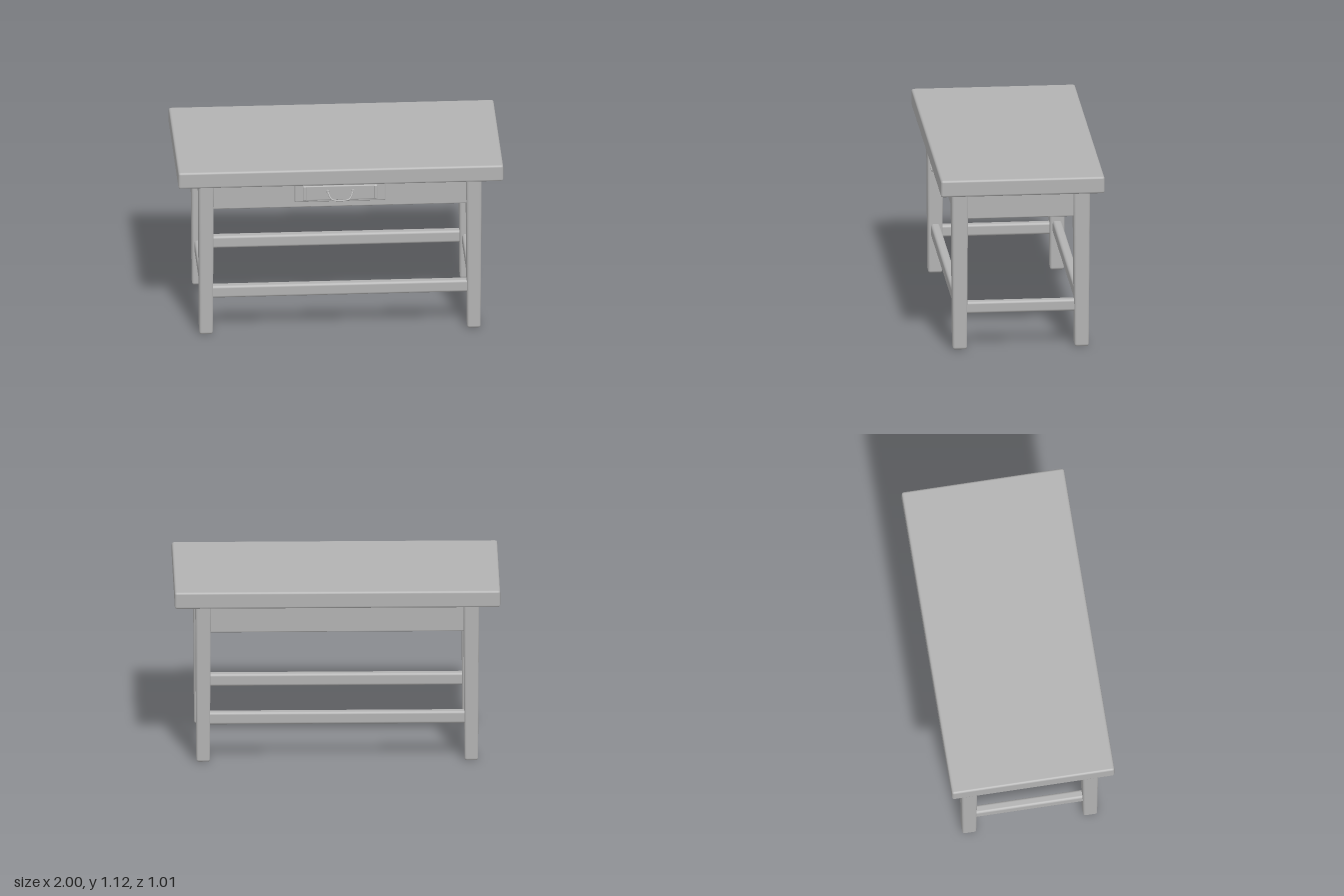
import * as THREE from 'three';
import { RoundedBoxGeometry } from 'three/addons/geometries/RoundedBoxGeometry.js';

export function createModel() {
  const table = new THREE.Group();
  table.name = 'table';
  const grey = new THREE.MeshStandardMaterial({ color: 0xb2b2b2 });
  grey.name = 'plain grey';

  const add = (name, geometry, x = 0, y = 0, z = 0, parent = table) => {
    const mesh = new THREE.Mesh(geometry, grey);
    mesh.name = name;
    mesh.position.set(x, y, z);
    parent.add(mesh);
    return mesh;
  };
  // Box with softened edges
  const soft = (w, h, d, r) => new RoundedBoxGeometry(w, h, d, 2, r);

  // Thick table top
  add('tableTop', soft(2, 0.107, 1.01, 0.014), 0, 1.0715, 0);

  // Legs: soft-edged posts, narrowing towards the foot
  const legHeight = 1.03;
  const legGeometry = soft(0.096, legHeight, 0.104, 0.016);
  const p = legGeometry.attributes.position;
  for (let i = 0; i < p.count; i++) {
    const t = 0.5 - p.getY(i) / legHeight;
    p.setX(i, p.getX(i) * (1 - 0.14 * t));
    p.setZ(i, p.getZ(i) * (1 - 0.16 * t));
  }
  legGeometry.computeBoundingSphere();
  for (const x of [-1, 1]) {
    for (const z of [-1, 1]) {
      add(`${z > 0 ? 'front' : 'back'}${x > 0 ? 'Left' : 'Right'}Leg`,
        legGeometry, x * 0.824, legHeight / 2, z * 0.376);
    }
  }

  // Aprons under the top and stretchers between the legs
  for (const s of [-1, 1]) {
    const end = s > 0 ? 'front' : 'back';
    const side = s > 0 ? 'left' : 'right';
    add(`${end}Apron`, soft(1.6, 0.195, 0.045, 0.008), 0, 0.9305, s * 0.382);
    add(`${side}Apron`, soft(0.045, 0.195, 0.7, 0.008), s * 0.83, 0.9305, 0);
    add(`${end}Stretcher`, soft(1.6, 0.08, 0.056, 0.016), 0, 0.276, s * 0.376);
    add(`${side}Stretcher`, soft(0.056, 0.076, 0.7, 0.016), s * 0.824, 0.263, 0);
  }

  // Drawer with a raised panel
  const drawer = new THREE.Group();
  drawer.name = 'drawer';
  table.add(drawer);
  add('drawerFront', soft(0.56, 0.128, 0.04, 0.008), 0, 0.941, 0.407, drawer);
  add('drawerPanel', soft(0.46, 0.097, 0.02, 0.007), 0, 0.938, 0.425, drawer);
  for (const s of [-1, 1]) {
    add('panelEndStrip', soft(0.018, 0.088, 0.008, 0.003), s * 0.218, 0.938, 0.434, drawer);
  }

  // Drop handle on two round mounts
  const bail = new THREE.CatmullRomCurve3([
    [-0.078, 0.95, 0.432], [-0.074, 0.944, 0.446], [-0.062, 0.918, 0.463], [-0.046, 0.907, 0.471],
    [0.046, 0.907, 0.471], [0.062, 0.918, 0.463], [0.074, 0.944, 0.446], [0.078, 0.95, 0.432],
  ].map((q) => new THREE.Vector3(...q)), false, 'centripetal');
  add('handleBail', new THREE.TubeGeometry(bail, 40, 0.005, 8), 0, 0, 0, drawer);
  for (const s of [-1, 1]) {
    const mount = new THREE.CylinderGeometry(0.009, 0.012, 0.014, 12).rotateX(Math.PI / 2);
    add('handleMount', mount, s * 0.078, 0.95, 0.438, drawer);
  }

  return table;
}
